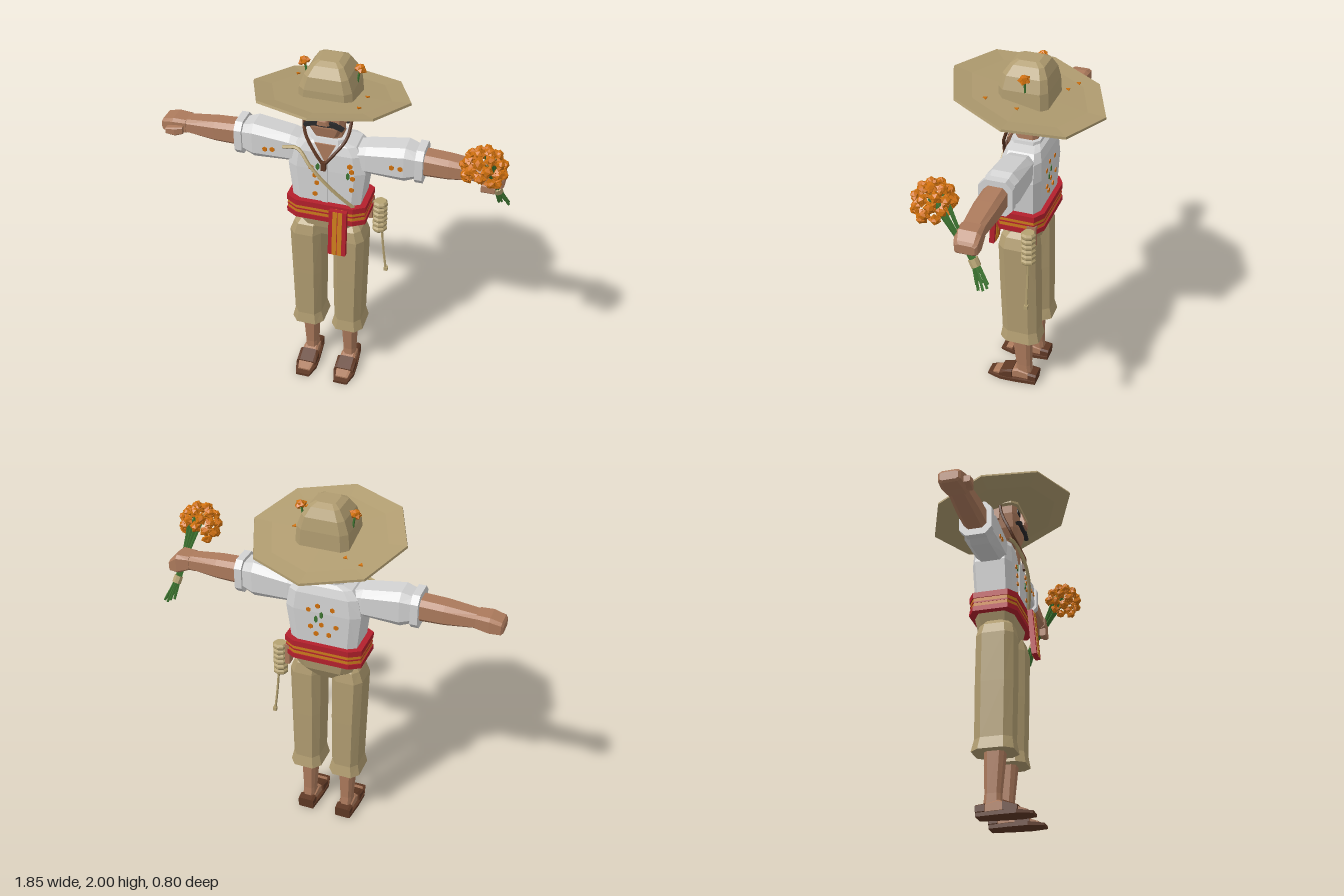
import * as THREE from 'three';

const mat = (name, color) => {
  const m = new THREE.MeshStandardMaterial({ color, flatShading: true });
  m.name = name;
  return m;
};

export function createModel() {
  const straw = mat('straw', 0xb09c70), skin = mat('skin', 0xac7a5c), white = mat('shirt white', 0xd2d2d2);
  const red = mat('sash red', 0xb4202c), gold = mat('sash gold', 0xcb7c1c), petal = mat('petal orange', 0xd0700c);
  const green = mat('stem green', 0x3c7430), black = mat('hair black', 0x29292b);
  const leather = mat('leather brown', 0x5e3824), rope = mat('rope', 0xb5a272);

  const model = new THREE.Group();
  model.name = 'farmer';
  const body = new THREE.Group();
  body.name = 'body';
  body.position.x = -0.01;
  model.add(body);

  const add = (name, geo, material, x = 0, y = 0, z = 0, parent = body) => {
    const m = new THREE.Mesh(geo, material);
    m.name = name;
    m.position.set(x, y, z);
    parent.add(m);
    return m;
  };
  const box = (name, material, w, h, d, x, y, z) => add(name, new THREE.BoxGeometry(w, h, d), material, x, y, z);

  // Eight-sided solid through chamfered rectangles; rows are [t, u0, u1, v0, v1]
  const upright = (t, u, v) => [u, t, v];
  const loft = (name, material, rows, k = 0.35, map = upright) => {
    const rings = rows.map(([t, u0, u1, v0, v1]) => {
      const a = (u1 - u0) / 2, b = (v1 - v0) / 2, q = 1 - k;
      return [[1, q], [q, 1], [-q, 1], [-1, q], [-1, -q], [-q, -1], [q, -1], [1, -q]]
        .map(([p, r]) => new THREE.Vector3(...map(t, (u0 + u1) / 2 + p * a, (v0 + v1) / 2 + r * b)));
    });
    const tris = [], last = rings[rings.length - 1];
    for (let i = 0; i < 8; i++) {
      const j = (i + 1) % 8;
      for (let s = 0; s + 1 < rings.length; s++) {
        const [A, B] = [rings[s], rings[s + 1]];
        tris.push([A[i], B[i], B[j]], [A[i], B[j], A[j]]);
      }
      if (i > 0 && i < 7) tris.push([rings[0][0], rings[0][i], rings[0][j]], [last[0], last[j], last[i]]);
    }
    // Turn the faces outward whichever way the axes are mapped
    const mid = rings[0][0].clone().add(last[4]).multiplyScalar(0.5), c = new THREE.Vector3();
    let volume = 0;
    for (const [p, q, r] of tris) {
      volume += p.clone().sub(mid).dot(c.crossVectors(q.clone().sub(mid), r.clone().sub(mid)));
    }
    const pts = tris.flatMap(([p, q, r]) => (volume < 0 ? [p, r, q] : [p, q, r]));
    const geo = new THREE.BufferGeometry().setFromPoints(pts);
    geo.computeVertexNormals();
    return add(name, geo, material);
  };
  const tube = (name, material, pts, r, parent = body, sides = 5) => {
    const curve = new THREE.CatmullRomCurve3(pts.map(p => new THREE.Vector3(...p)), false, 'centripetal');
    return add(name, new THREE.TubeGeometry(curve, pts.length * 4, r, sides), material, 0, 0, 0, parent);
  };

  // Legs, trousers and sandals
  for (const s of [-1, 1]) {
    const x = s * 0.114;
    const side = (t, u, v) => [x + s * u, t, v];
    const along = (t, u, v) => [x + s * u, v, t];
    loft('trouserLeg', straw, [
      [0.335, -0.09, 0.092, -0.115, 0.11], [0.40, -0.075, 0.078, -0.1, 0.1], [0.7, -0.08, 0.085, -0.098, 0.108],
      [0.97, -0.08, 0.092, -0.092, 0.112], [1.03, -0.075, 0.07, -0.08, 0.1], [1.06, -0.06, 0.045, -0.06, 0.07]], 0.4, side);
    loft('calf', skin, [[0.04, -0.033, 0.033, -0.06, 0.035], [0.12, -0.033, 0.033, -0.052, 0.03],
      [0.37, -0.045, 0.045, -0.055, 0.055]], 0.4, side);
    loft('sandalSole', leather, [[-0.09, -0.045, 0.045, 0, 0.025], [0.03, -0.058, 0.058, 0, 0.025],
      [0.12, -0.062, 0.062, 0, 0.025], [0.2, -0.04, 0.04, 0, 0.016]], 0.2, along);
    loft('foot', skin, [[-0.08, -0.036, 0.036, 0.02, 0.06], [0.02, -0.042, 0.042, 0.02, 0.085],
      [0.1, -0.048, 0.048, 0.02, 0.052], [0.17, -0.035, 0.035, 0.015, 0.028]], 0.3, along);
    loft('toeStrap', leather, [[0.05, -0.056, 0.056, 0.015, 0.08], [0.125, -0.056, 0.056, 0.015, 0.05]], 0.3, along);
    loft('heelStrap', leather, [[-0.093, -0.045, 0.045, 0.02, 0.065], [-0.045, -0.047, 0.047, 0.02, 0.07]], 0.3, along);
  }
  loft('hips', straw, [[0.97, -0.06, 0.06, -0.07, 0.07], [1.03, -0.15, 0.15, -0.105, 0.09],
    [1.12, -0.185, 0.185, -0.12, 0.105]]);

  // Shirt and sash
  loft('shirt', white, [[1.18, -0.18, 0.18, -0.11, 0.1], [1.4, -0.205, 0.205, -0.12, 0.1],
    [1.5, -0.187, 0.187, -0.115, 0.095], [1.545, -0.15, 0.15, -0.1, 0.08], [1.56, -0.085, 0.085, -0.08, 0.065]], 0.25);
  loft('collar', white, [[1.53, -0.1, 0.1, -0.085, 0.085], [1.575, -0.09, 0.09, -0.08, 0.07]]);
  box('shirtPlacket', white, 0.03, 0.25, 0.008, 0, 1.33, 0.102);
  const vee = new THREE.Shape([[-0.055, 1.56], [0, 1.45], [0.055, 1.56]].map(p => new THREE.Vector2(...p)));
  add('openNeck', new THREE.ExtrudeGeometry(vee, { depth: 0.008, bevelEnabled: false }), skin, 0, 0, 0.092);
  const band = (name, m, y0, y1, g) =>
    loft(name, m, [[y0, -0.205 - g, 0.205 + g, -0.128 - g, 0.12 + g], [y1, -0.205 - g, 0.205 + g, -0.128 - g, 0.12 + g]], 0.28);
  band('sashLower', red, 1.1, 1.128, 0.009);
  band('sashGoldBand', gold, 1.105, 1.2, 0.004);
  band('sashLine', red, 1.148, 1.156, 0.006);
  band('sashUpper', red, 1.176, 1.208, 0.009);
  const tail = new THREE.Group();
  tail.name = 'sashTail';
  tail.position.set(0.084, 1.065, 0.158);
  tail.rotation.x = -0.08;
  body.add(tail);
  add('tailCloth', new THREE.BoxGeometry(0.095, 0.265, 0.028), red, 0, 0, 0, tail);
  for (const x of [-0.014, 0.014]) add('tailStripe', new THREE.BoxGeometry(0.024, 0.264, 0.034), gold, x, 0, 0, tail);

  // Arms along x, right then left
  for (const s of [-1, 1]) {
    const out = (t, u, v) => [s * t, u, v];
    loft('sleeve', white, [[0.13, 1.41, 1.53, -0.08, 0.075], [0.2, 1.395, 1.55, -0.088, 0.08],
      [0.4, 1.385, 1.58, -0.09, 0.082], [0.465, 1.41, 1.56, -0.075, 0.07]], 0.4, out);
    loft('cuff', white, [[0.457, 1.39, 1.58, -0.09, 0.085], [0.497, 1.39, 1.58, -0.09, 0.085]], 0.4, out);
    loft('forearm', skin, [[0.47, 1.425, 1.55, -0.065, 0.058], [0.62, 1.43, 1.543, -0.064, 0.06],
      [0.8, 1.45, 1.525, -0.055, 0.05]], 0.4, out);
    const tip = s < 0 ? 0.92 : 0.9, drop = s < 0 ? 0 : -0.02;
    loft('hand', skin, [[0.78, 1.45, 1.527, -0.06, 0.055], [0.85, 1.44 + drop, 1.53, -0.068, 0.06],
      [tip - 0.01, 1.445 + drop, 1.515 + drop, -0.065, 0.05], [tip, 1.455 + drop, 1.5 + drop, -0.055, 0.04]], 0.3, out);
    if (s < 0) loft('thumb', skin, [[0.79, 1.46, 1.5, 0.035, 0.078], [0.83, 1.45, 1.5, 0.045, 0.09],
      [0.88, 1.455, 1.49, 0.05, 0.088]], 0.3, out);
    else loft('thumb', skin, [[0.79, 1.4, 1.45, 0.02, 0.06], [0.86, 1.4, 1.44, 0.025, 0.06]], 0.3, out);
  }

  // Embroidered blossoms and leaves
  const dot = (x, y, z, m = petal) => {
    const d = add(m === green ? 'stitchedLeaf' : 'stitchedBlossom', new THREE.CylinderGeometry(0.014, 0.014, 0.009, 6), m, x, y, z);
    d.rotation.x = Math.PI / 2;
    if (m === green) d.scale.set(0.7, 1, 1.5);
  };
  [[-0.33, 1.46], [-0.29, 1.465], [0.34, 1.475], [0.385, 1.475]].forEach(([x, y]) => dot(x, y, 0.082));
  [[-0.075, 1.41], [-0.055, 1.365], [-0.045, 1.32], [-0.055, 1.25], [0.13, 1.45], [0.14, 1.42], [0.145, 1.38], [0.14, 1.31]]
    .forEach(([x, y]) => dot(x, y, 0.101));
  [[-0.04, 1.42], [0.12, 1.39]].forEach(([x, y]) => dot(x, y, 0.101, green));
  [[-0.06, 1.43], [0.02, 1.44], [0.07, 1.41], [-0.08, 1.33], [0, 1.33], [0.06, 1.31], [-0.04, 1.275], [0.03, 1.27]]
    .forEach(([x, y]) => dot(x, y, -0.117));
  [[0, 1.39], [0.03, 1.36]].forEach(([x, y]) => dot(x, y, -0.118, green));

  // Head and face
  loft('neck', skin, [[1.48, -0.075, 0.075, -0.07, 0.06], [1.64, -0.065, 0.065, -0.06, 0.05]]);
  loft('head', skin, [[1.605, -0.06, 0.06, -0.04, 0.1], [1.66, -0.09, 0.09, -0.055, 0.112],
    [1.74, -0.11, 0.11, -0.06, 0.112], [1.85, -0.115, 0.115, -0.06, 0.11]], 0.25);
  loft('nose', skin, [[1.695, -0.032, 0.032, 0.1, 0.145], [1.72, -0.026, 0.026, 0.1, 0.148], [1.79, -0.01, 0.01, 0.1, 0.118]]);
  for (const s of [-1, 1]) {
    box('eye', black, 0.055, 0.022, 0.008, s * 0.056, 1.762, 0.112);
    box('brow', black, 0.06, 0.018, 0.009, s * 0.058, 1.8, 0.113).rotation.z = -s * 0.08;
    box('ear', skin, 0.02, 0.06, 0.035, s * 0.115, 1.735, 0);
    const half = new THREE.Shape([[0, 1.71], [0.06, 1.705], [0.105, 1.68], [0.095, 1.667], [0.05, 1.682], [0, 1.68]]
      .map(([x, y]) => new THREE.Vector2(s * x, y)));
    add('moustache', new THREE.ExtrudeGeometry(half, { depth: 0.022, bevelEnabled: false }), black, 0, 0, 0.108);
    tube('chinStrap', leather, [[s * 0.128, 1.82, 0.02], [s * 0.124, 1.73, 0.035], [s * 0.11, 1.61, 0.085],
      [s * 0.05, 1.52, 0.12], [0, 1.455, 0.13]], 0.009);
  }
  box('strapKnot', leather, 0.025, 0.05, 0.02, 0, 1.45, 0.13);
  // Hair falls in locks of uneven length
  [1.645, 1.61, 1.63, 1.6, 1.635, 1.615, 1.65].forEach((y, i) =>
    box('hairLock', black, 0.0335, 1.82 - y, 0.06, (i - 3) * 0.033, (1.82 + y) / 2, -0.07));

  // Hat: tilted brim and squared crown
  const hat = new THREE.Group();
  hat.name = 'hat';
  hat.position.set(0.002, 1.797, 0);
  hat.rotation.x = -0.19;
  body.add(hat);
  const brim = [[0, -0.018], [0.31, -0.018], [0.408, 0.004], [0.405, 0.016], [0.31, 0.008], [0, 0.012]];
  add('brim', new THREE.LatheGeometry(brim.map(p => new THREE.Vector2(...p)), 8), straw, 0, 0, 0, hat);
  [[-0.235, -0.19], [-0.145, -0.16], [0.185, 0], [0.185, 0.165]].forEach(([x, z]) =>
    add('brimPetal', new THREE.CylinderGeometry(0.013, 0.013, 0.006, 3), petal, x, 0.012, z, hat));
  loft('crown', straw, [[1.785, -0.142, 0.142, -0.137, 0.125], [1.87, -0.135, 0.135, -0.133, 0.122],
    [1.935, -0.112, 0.112, -0.122, 0.108], [1.983, -0.08, 0.08, -0.098, 0.075], [2.0, -0.05, 0.05, -0.065, 0.045]], 0.25);

  // A blossom is a faceted core with a ring of petals
  const blossom = (x, y, z, r, parent, dir) => {
    const g = new THREE.Group();
    g.name = 'blossom';
    g.position.set(x, y, z);
    g.quaternion.setFromUnitVectors(new THREE.Vector3(0, 1, 0), dir);
    parent.add(g);
    add('blossomCore', new THREE.IcosahedronGeometry(r * 0.72), petal, 0, r * 0.2, 0, g);
    for (let i = 0; i < 5; i++) {
      const a = i * Math.PI * 0.4;
      add('petal', new THREE.OctahedronGeometry(r * 0.5), petal, Math.cos(a) * r * 0.6, 0, Math.sin(a) * r * 0.6, g).rotation.y = -a;
    }
  };
  for (const s of [-1, 1]) {
    blossom(s * 0.143, 1.945, -0.025, 0.032, body, new THREE.Vector3(s * 0.4, 0.9, 0).normalize());
    tube('hatStem', green, [[s * 0.143, 1.945, -0.025], [s * 0.135, 1.91, -0.025], [s * 0.13, 1.87, -0.025]], 0.006);
  }

  // Bouquet in the left hand: hollow ball of blossoms over bundled stems
  const bouquet = new THREE.Group();
  bouquet.name = 'bouquet';
  model.add(bouquet);
  for (let i = 0; i < 34; i++) {
    const y = 1 - (i + 0.5) * 1.75 / 34, r = Math.sqrt(1 - y * y), a = i * 2.39996;
    const d = new THREE.Vector3(Math.cos(a) * r, y, Math.sin(a) * r);
    if (y < -0.1 && Math.abs(d.x) < 0.45) continue;
    blossom(0.8 + d.x * 0.094, 1.62 + d.y * 0.092, 0.17 + d.z * 0.088, 0.032, bouquet, d);
  }
  for (let i = 0; i < 9; i++) {
    const a = i * 2.4, c = Math.cos(a), e = Math.sin(a), k = i === 0 ? 0 : 1;
    tube('stem', green, [[0.885 + c * 0.03 * k, 1.285 - (i % 3) * 0.012, -0.085 + e * 0.025 * k],
      [0.852 + c * 0.012, 1.375, -0.035 + e * 0.012], [0.835 + c * 0.016, 1.5, 0.05 + e * 0.016],
      [0.81 + c * 0.04, 1.66, 0.15 + e * 0.04]], 0.0075, bouquet, 4);
  }
  const tie = add('stemTie', new THREE.CylinderGeometry(0.025, 0.025, 0.04, 8), rope, 0.854, 1.37, -0.038, bouquet);
  tie.rotation.set(0.5, 0, 0.2);

  // Rope across the chest, coil and loose end at the left hip
  tube('chestRope', rope, [[-0.225, 1.505, 0.1], [-0.14, 1.52, 0.115], [-0.07, 1.45, 0.145], [0, 1.375, 0.152],
    [0.08, 1.285, 0.135], [0.165, 1.19, 0.1]], 0.01);
  for (let i = 0; i < 6; i++) {
    const disc = [[0, -0.017], [0.032, -0.017], [0.041, -0.006], [0.041, 0.006], [0.032, 0.017], [0, 0.017]];
    add('ropeCoil', new THREE.LatheGeometry(disc.map(p => new THREE.Vector2(...p)), 8), rope, 0.25, 0.963 + i * 0.032, -0.083);
  }
  tube('ropeEnd', rope, [[0.262, 0.96, -0.085], [0.275, 0.82, -0.085], [0.292, 0.685, -0.085]], 0.007);
  box('ropeKnot', rope, 0.02, 0.022, 0.02, 0.293, 0.683, -0.085);
  box('hipLoop', skin, 0.025, 0.12, 0.05, 0.2, 1.09, -0.085);

  return model;
}
